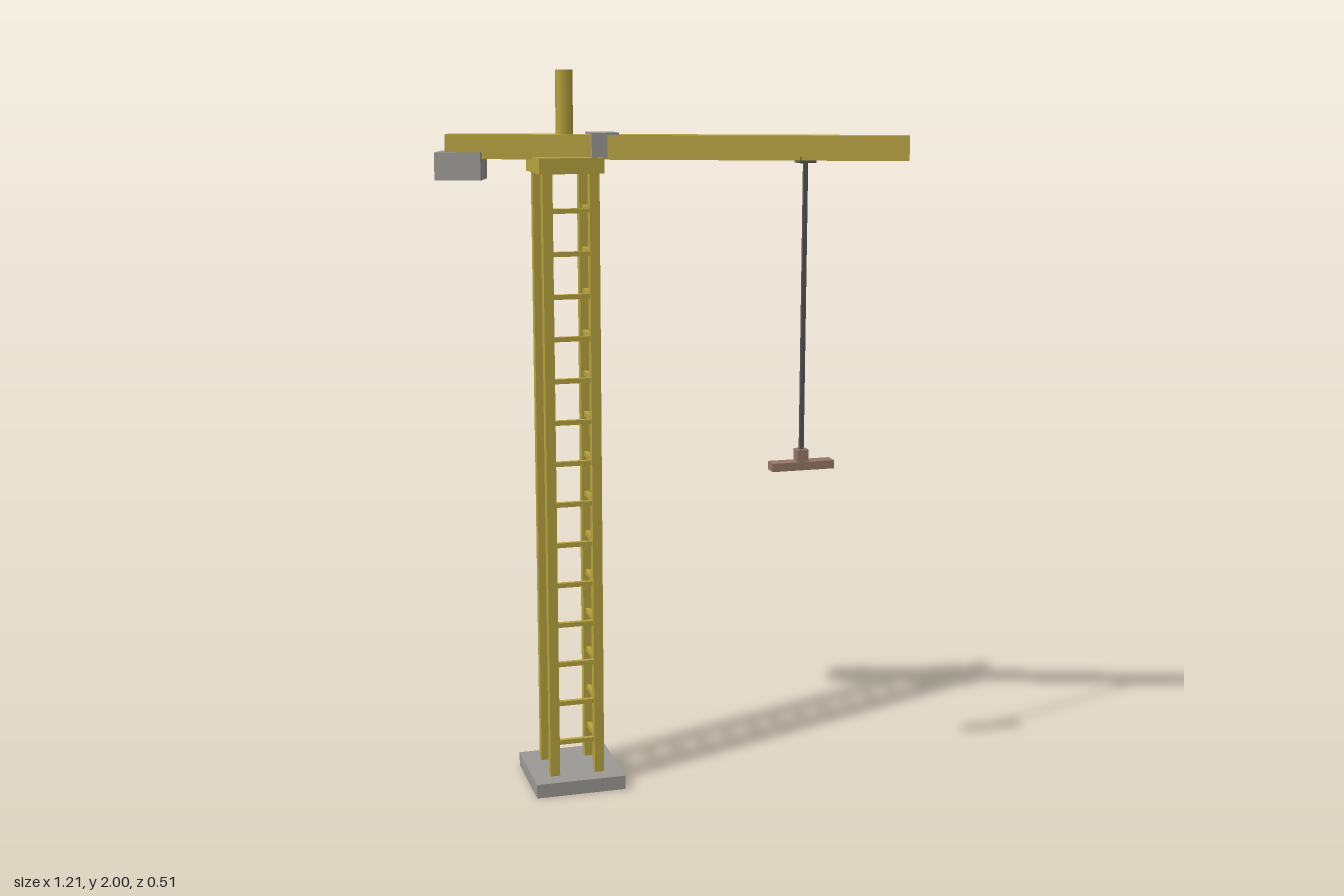
import * as THREE from 'three';

const mat = (name, color) => {
  const m = new THREE.MeshStandardMaterial({ color });
  m.name = name;
  return m;
};

export function createModel() {
  const yellow = mat('yellow paint', 0xb8a440);
  const grey = mat('concrete grey', 0x9c9a96);
  const dark = mat('cable grey', 0x555555);
  const brown = mat('load brown', 0x967868);

  const crane = new THREE.Group();
  crane.name = 'towerCrane';

  // Box spanning y0..y1, centred on x, z
  const box = (parent, name, material, w, d, y0, y1, x = 0, z = 0) => {
    const mesh = new THREE.Mesh(new THREE.BoxGeometry(w, y1 - y0, d), material);
    mesh.position.set(x, (y0 + y1) / 2, z);
    mesh.name = name;
    parent.add(mesh);
    return mesh;
  };

  // Tower, centred on its own axis
  const tower = new THREE.Group();
  tower.name = 'tower';
  tower.position.set(-0.268, 0, -0.09);
  crane.add(tower);
  box(tower, 'base', grey, 0.255, 0.255, 0, 0.04);
  box(tower, 'platform', yellow, 0.177, 0.177, 1.73, 1.772);

  const off = 0.064, post = 0.027;
  for (const sx of [-1, 1])
    for (const sz of [-1, 1])
      box(tower, 'post', yellow, post, post, 0.04, 1.73, sx * off, sz * off);

  // Rungs on the front and left faces only
  const span = 2 * off - post, rung = 0.013;
  for (let i = 0; i < 14; i++) {
    const y = 0.136 + i * 0.115;
    box(tower, 'frontRung', yellow, span, rung, y - rung / 2, y + rung / 2, 0, off);
    box(tower, 'sideRung', yellow, rung, span, y - rung / 2, y + rung / 2, off, 0);
  }

  // Six-sided mast above the platform
  const mast = new THREE.Mesh(new THREE.CylinderGeometry(0.0245, 0.0245, 0.23, 6), yellow);
  mast.position.y = 1.885;
  mast.name = 'mast';
  tower.add(mast);

  // Cab, square to the tower
  box(tower, 'cab', grey, 0.075, 0.075, 1.768, 1.836, 0.096, 0.033);

  // Slewed arm with counterweight and trolley
  const arm = new THREE.Group();
  arm.name = 'arm';
  arm.rotation.y = THREE.MathUtils.degToRad(-20);
  tower.add(arm);
  box(arm, 'jib', yellow, 1.237, 0.063, 1.765, 1.83, 0.2995, 0);
  box(arm, 'counterweight', grey, 0.125, 0.1, 1.709, 1.783, -0.2825, 0);

  // Hoist and load, square to the tower
  const hoist = new THREE.Group();
  hoist.name = 'hoist';
  hoist.position.set(0.337, 0, 0.134);
  crane.add(hoist);
  box(hoist, 'trolley', dark, 0.045, 0.045, 1.758, 1.775);
  box(hoist, 'cable', dark, 0.011, 0.011, 0.975, 1.76);
  box(hoist, 'hookBlock', brown, 0.032, 0.032, 0.947, 0.98);
  box(hoist, 'load', brown, 0.178, 0.04, 0.924, 0.947);

  return crane;
}
